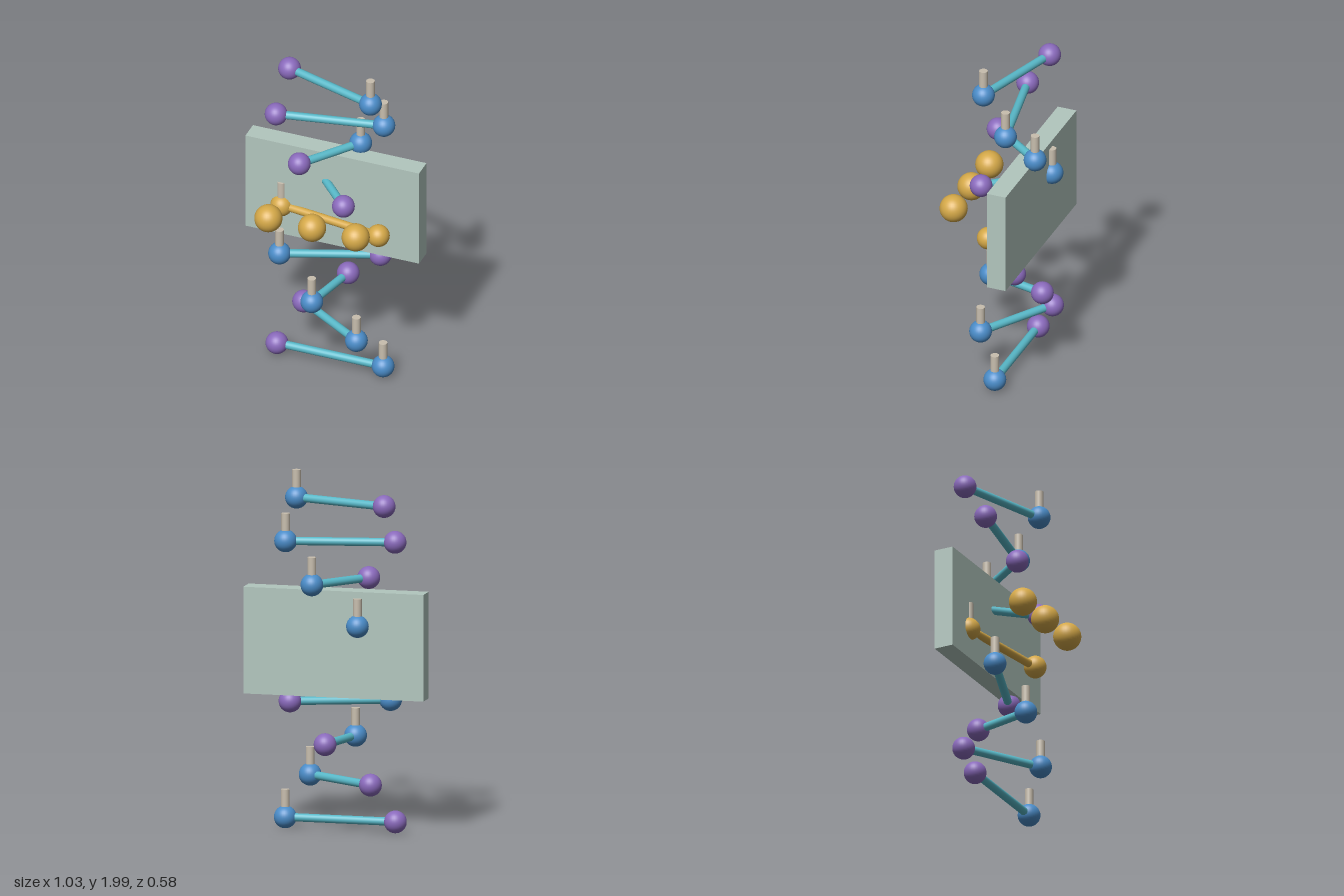
import * as THREE from 'three';

const mat = (name, color) => {
  const m = new THREE.MeshStandardMaterial({ color });
  m.name = name;
  return m;
};

export function createModel() {
  const group = new THREE.Group();
  group.name = 'helixModel';

  const blue = mat('blue', 0x4a8cc8);
  const purple = mat('purple', 0x8a6abc);
  const teal = mat('teal', 0x58b8c8);
  const gold = mat('gold', 0xd4a848);
  const stone = mat('paleGreen', 0xb2c6be);
  const beige = mat('beige', 0xc8beae);

  const add = (name, geometry, material, parent, x, y, z) => {
    const mesh = new THREE.Mesh(geometry, material);
    mesh.name = name;
    mesh.position.set(x, y, z);
    parent.add(mesh);
    return mesh;
  };

  const ball = new THREE.SphereGeometry(0.063, 32, 20);
  const bigBall = new THREE.SphereGeometry(0.078, 32, 20);
  const stem = new THREE.CylinderGeometry(0.024, 0.024, 0.12, 20);
  const up = new THREE.Vector3(0, 1, 0);

  // Nine rungs twisting up an elliptical helix; the middle one is gold
  for (let i = 0; i < 9; i++) {
    const rung = new THREE.Group();
    rung.name = 'rung' + (i + 1);
    rung.position.set(0, 0.068 + i * 0.2221, -0.055);
    const a = i * 0.85;
    const end = new THREE.Vector3(0.315 * Math.cos(a), 0, 0.172 * Math.sin(a));
    const middle = i === 4;

    add('firstBall', ball, middle ? gold : blue, rung, end.x, 0, end.z);
    add('secondBall', ball, middle ? gold : purple, rung, -end.x, 0, -end.z);
    add('stem', stem, beige, rung, end.x, 0.095, end.z);

    const rod = add('rod', new THREE.CylinderGeometry(0.023, 0.023, end.length() * 2, 20),
      middle ? gold : teal, rung, 0, 0, 0);
    rod.quaternion.setFromUnitVectors(up, end.clone().normalize());
    group.add(rung);
  }

  // Upright panel behind the middle rungs
  add('panel', new THREE.BoxGeometry(1.03, 0.597, 0.112), stone, group, 0, 1.072, -0.145);

  // Row of loose balls in front
  for (const x of [-0.259, 0, 0.259]) add('frontBall', bigBall, gold, group, x, 1.073, 0.214);

  return group;
}
